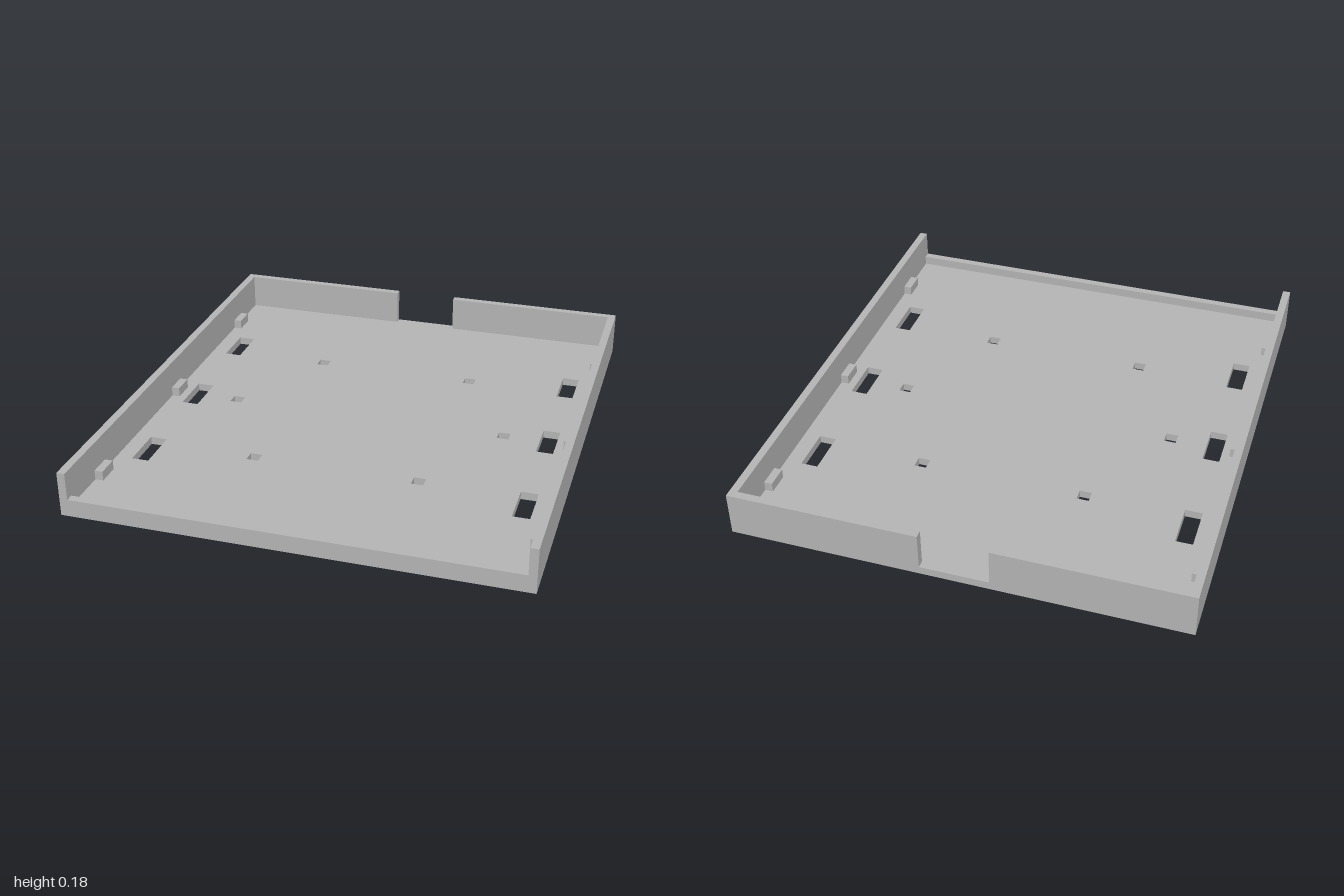
import * as THREE from 'three';

const W = 0.89, D = 1.0;          // half width and half depth
const WALL = 0.032, FLOOR = 0.032; // thicknesses
const TOP = 0.18, LIP = 0.07;      // wall and front lip heights

// rectangle outline centred on (x, z)
function rect(path, x, z, w, d) {
  path.moveTo(x - w / 2, z - d / 2);
  path.lineTo(x + w / 2, z - d / 2);
  path.lineTo(x + w / 2, z + d / 2);
  path.lineTo(x - w / 2, z + d / 2);
  path.closePath();
  return path;
}

export function createModel() {
  const group = new THREE.Group();
  const grey = new THREE.MeshStandardMaterial({ color: 0xb3b3b3 });
  grey.name = 'grey';

  const add = (name, geometry) => {
    const mesh = new THREE.Mesh(geometry, grey);
    mesh.name = name;
    group.add(mesh);
  };
  const box = (name, x0, x1, y0, y1, z0, z1) => {
    const g = new THREE.BoxGeometry(Math.abs(x1 - x0), y1 - y0, z1 - z0);
    g.translate((x0 + x1) / 2, (y0 + y1) / 2, (z0 + z1) / 2);
    add(name, g);
  };

  // floor plate with strap slots and screw holes
  const plate = rect(new THREE.Shape(), 0, 0, 2 * W, 2 * D);
  const hole = (x, z, w, d) => plate.holes.push(rect(new THREE.Path(), x, z, w, d));
  for (const s of [-1, 1]) {
    for (const z of [-0.5, 0, 0.5]) hole(s * 0.758, z, 0.068, 0.18);
    for (const z of [-0.445, 0.445]) hole(s * 0.334, z, 0.048, 0.048);
    hole(s * 0.576, 0, 0.048, 0.048);
  }
  const floor = new THREE.ExtrudeGeometry(plate, { depth: FLOOR, bevelEnabled: false });
  floor.rotateX(-Math.PI / 2);
  add('floor', floor);

  // side walls, split back wall and retaining tabs
  for (const s of [-1, 1]) {
    const side = s > 0 ? 'left' : 'right';
    const inner = W - WALL;
    box(side + 'Wall', s * inner, s * W, FLOOR, TOP, -D, D);
    box(side + 'BackWall', s * 0.135, s * inner, FLOOR, TOP, -D, -D + WALL);
    for (const z of [-0.733, 0, 0.733]) {
      box(side + 'Tab', s * (inner - 0.033), s * inner, FLOOR, LIP, z - 0.045, z + 0.045);
    }
  }

  // low front lip
  box('frontLip', -W + WALL, W - WALL, FLOOR, LIP, D - WALL, D);

  return group;
}
